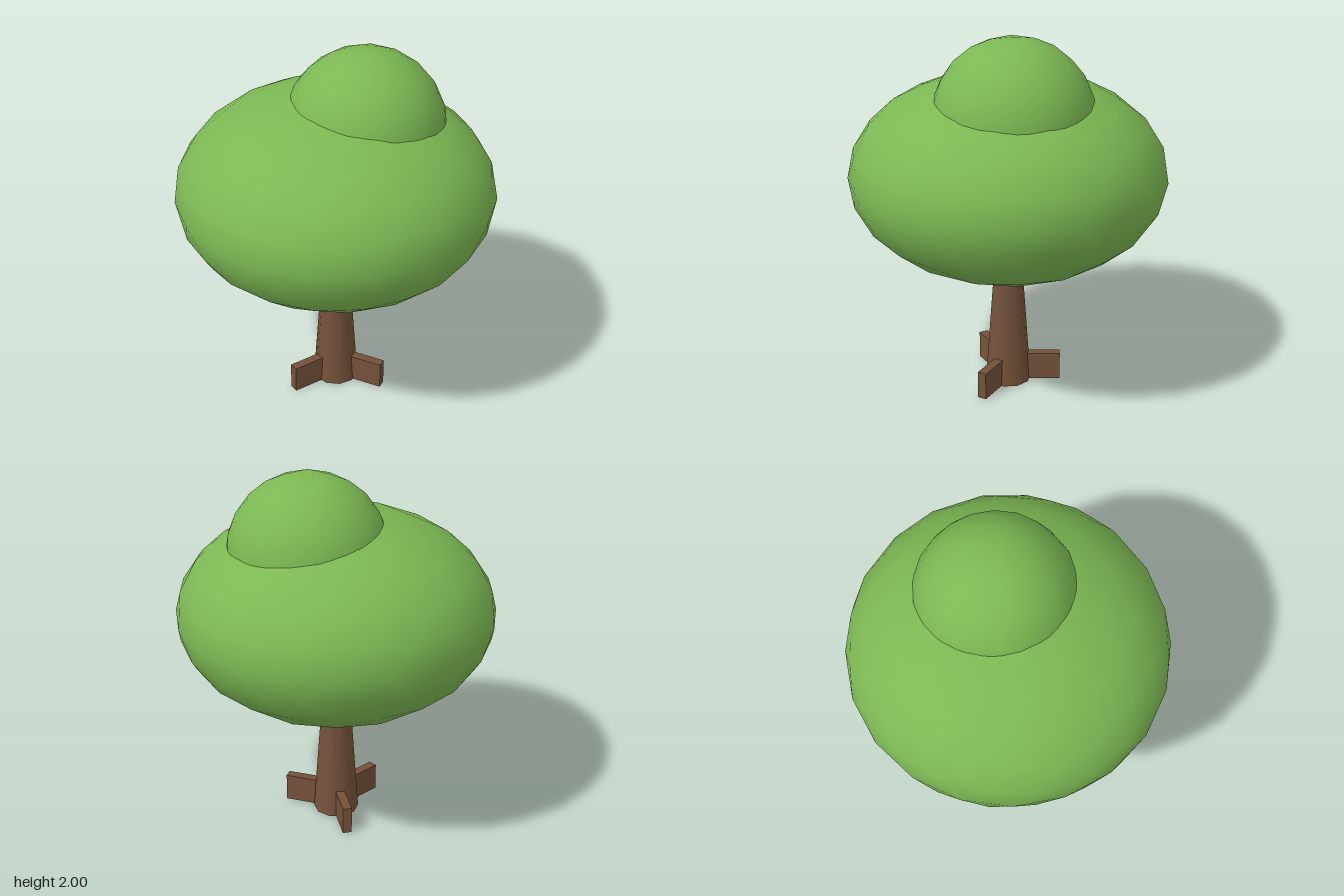
import * as THREE from 'three';

// Smooth icosphere with a vertex at each pole, subdivided by repeated halving
function icosphere(halvings) {
  const verts = [0, 1, 0];
  const h = 1 / Math.sqrt(5), r = 2 / Math.sqrt(5);
  for (let i = 0; i < 10; i++) {
    // even = upper ring, odd = lower ring
    const a = (i * Math.PI) / 5;
    verts.push(r * Math.cos(a), i % 2 ? -h : h, -r * Math.sin(a));
  }
  verts.push(0, -1, 0);
  const faces = [];
  for (let i = 0; i < 10; i += 2) {
    const u0 = 1 + i, l0 = 2 + i, u1 = 1 + ((i + 2) % 10), l1 = 1 + ((i + 3) % 10);
    faces.push(0, u0, u1, u0, l0, u1, l0, l1, u1, 11, l1, l0);
  }
  let geo = new THREE.PolyhedronGeometry(verts, faces, 1, 1);
  for (let k = 1; k < halvings; k++) {
    const pos = Array.from(geo.attributes.position.array);
    geo = new THREE.PolyhedronGeometry(pos, pos.slice(0, pos.length / 3).map((_, i) => i), 1, 1);
  }
  return geo;
}

export function createModel() {
  const leafGreen = new THREE.MeshStandardMaterial({ color: 0x7cb853 });
  leafGreen.name = 'leafGreen';
  const barkBrown = new THREE.MeshStandardMaterial({ color: 0x75523a });
  barkBrown.name = 'barkBrown';

  const tree = new THREE.Group();
  tree.name = 'tree';
  const add = (name, geometry, material) => {
    const mesh = new THREE.Mesh(geometry, material);
    mesh.name = name;
    tree.add(mesh);
    return mesh;
  };

  // Tapered trunk running up into the foliage
  const trunkHeight = 0.85;
  add('trunk', new THREE.CylinderGeometry(0.066, 0.126, trunkHeight, 10)
    .translate(0, trunkHeight / 2, 0), barkBrown);

  // Three plank roots around the foot
  for (let i = 0; i < 3; i++) {
    const root = add('root' + (i + 1), new THREE.BoxGeometry(0.24, 0.155, 0.05)
      .translate(0.17, 0.0775, 0), barkBrown);
    root.rotation.y = (i * 2 * Math.PI) / 3;
  }

  // Wide flattened crown and the round tuft on top
  add('mainFoliage', icosphere(2).scale(0.85, 0.545, 0.85)
    .translate(0, 1.23, 0), leafGreen);
  add('topFoliage', icosphere(2).scale(0.425, 0.425, 0.425)
    .translate(0.12, 1.575, -0.1), leafGreen);

  return tree;
}
